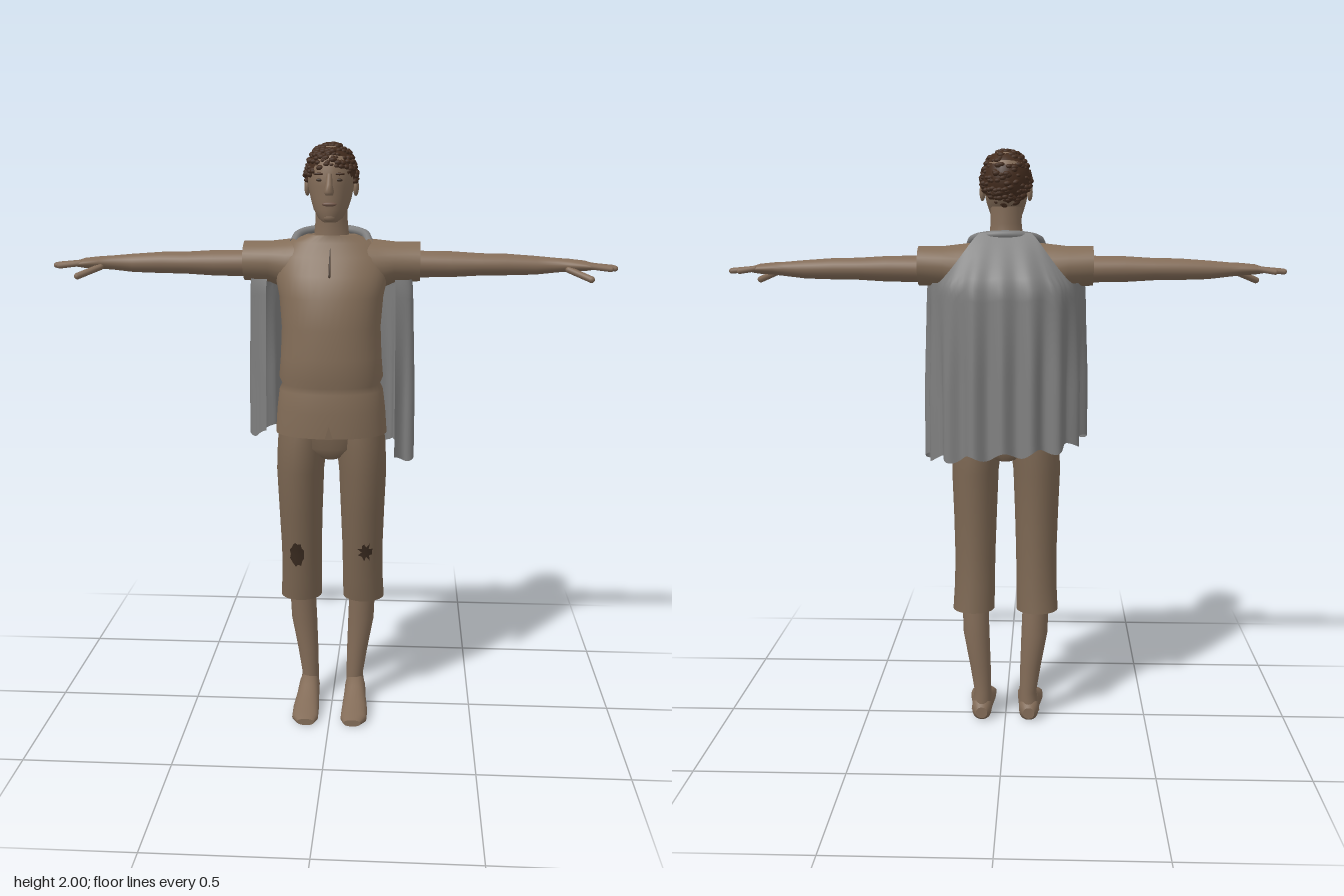
import * as THREE from 'three';
import { mergeGeometries } from 'three/addons/utils/BufferGeometryUtils.js';

const mat = (name, color, side = THREE.FrontSide) => {
  const m = new THREE.MeshStandardMaterial({ color, side });
  m.name = name;
  return m;
};

// Loft of elliptical rings [t, c1, c2, r1, r2] along axis x, y or z, with end caps
function loft(rings, axis = 'y', n = 28, power = 1, floor = -Infinity) {
  const pos = [], idx = [];
  const place = (t, p, q) => {
    const v = axis === 'y' ? [p, t, q] : axis === 'x' ? [t, p, q] : [p, q, t];
    v[1] = Math.max(v[1], floor);
    pos.push(...v);
  };
  const bend = (v) => Math.sign(v) * Math.abs(v) ** power;
  const flip = axis === 'y' ? 1 : -1;
  const ring = ([t, c1, c2, r1, r2]) => {
    for (let j = 0; j < n; j++) {
      const a = (j / n) * Math.PI * 2;
      place(t, c1 + r1 * bend(Math.cos(a)), c2 + flip * r2 * bend(Math.sin(a)));
    }
  };
  rings.forEach(ring);
  for (let i = 0; i < rings.length - 1; i++)
    for (let j = 0; j < n; j++) {
      const a = i * n + j, b = i * n + ((j + 1) % n);
      idx.push(a, a + n, b, b, a + n, b + n);
    }
  [rings[0], rings[rings.length - 1]].forEach((r, end) => {
    const s = pos.length / 3;
    ring(r);
    place(r[0], r[1], r[2]);
    for (let j = 0; j < n; j++) {
      const a = s + j, b = s + ((j + 1) % n);
      idx.push(s + n, end ? b : a, end ? a : b);
    }
  });
  const g = new THREE.BufferGeometry();
  g.setAttribute('position', new THREE.Float32BufferAttribute(pos, 3));
  g.setIndex(idx);
  g.computeVertexNormals();
  return g;
}

// Rounded rod between two points
function rod(a, b, r) {
  const p = new THREE.Vector3(...a), d = new THREE.Vector3(...b).sub(p);
  const g = new THREE.CapsuleGeometry(r, d.length(), 4, 10);
  g.applyQuaternion(new THREE.Quaternion().setFromUnitVectors(new THREE.Vector3(0, 1, 0), d.clone().normalize()));
  return g.translate(...p.addScaledVector(d, 0.5).toArray());
}

const blob = (x, y, z, rx, ry, rz) => new THREE.SphereGeometry(1, 16, 10).scale(rx, ry, rz).translate(x, y, z);

const LEG = [[0.41, 0.112, -0.028, 0.073, 0.075], [0.5, 0.109, -0.012, 0.071, 0.08], [0.6, 0.108, 0, 0.071, 0.086],
  [0.75, 0.108, 0.02, 0.076, 0.1], [0.9, 0.108, 0.028, 0.082, 0.115], [1.0, 0.1, 0.03, 0.086, 0.12], [1.08, 0.09, 0.03, 0.085, 0.11]];

// Ragged patch lying on the front of a trouser leg
function kneePatch(cx, cy, w, h, jag) {
  const surface = (x, y) => {
    const i = LEG.findIndex((r) => r[0] > y), a = LEG[i - 1], b = LEG[i], k = (y - a[0]) / (b[0] - a[0]);
    const [, c, cz, rx, rz] = a.map((v, m) => v + (b[m] - v) * k);
    return cz + rz * Math.sqrt(1 - ((Math.abs(x) - c) / rx) ** 2) + 0.004;
  };
  const n = 18, pos = [cx, cy, surface(cx, cy)], idx = [];
  for (let k = 1; k <= 2; k++)
    for (let j = 0; j < n; j++) {
      const a = (j / n) * Math.PI * 2, r = (k / 2) * (1 + jag * Math.sin(j * 2.6));
      const x = cx + w * r * Math.cos(a), y = cy + h * r * Math.sin(a);
      pos.push(x, y, surface(x, y));
    }
  for (let j = 0; j < n; j++) {
    const a = 1 + j, b = 1 + ((j + 1) % n);
    idx.push(0, a, b, a, a + n, b, b, a + n, b + n);
  }
  const g = new THREE.BufferGeometry();
  g.setAttribute('position', new THREE.Float32BufferAttribute(pos, 3));
  g.setIndex(idx);
  g.computeVertexNormals();
  return g;
}

// Draped cloak: open at the front, folded, rising to the neck behind
function cloakGeometry() {
  const half = [[0.12, -0.165], [0.21, -0.115], [0.255, -0.03], [0.268, 0.06], [0.215, 0.075]];
  const pts = [...half.map(([x, z]) => [-x, z]).reverse(), [0, -0.172], ...half];
  const plan = new THREE.CatmullRomCurve3(pts.map(([x, z]) => new THREE.Vector3(x, 0, z)));
  const nu = 110, nv = 20;
  const g = new THREE.PlaneGeometry(1, 1, nu, nv), p = g.attributes.position;
  for (let i = 0; i < p.count; i++) {
    const u = (i % (nu + 1)) / nu, t = Math.floor(i / (nu + 1)) / nv, s = Math.abs(u * 2 - 1);
    const c = plan.getPointAt(u), tan = plan.getTangentAt(u);
    const top = 1.72 - 0.165 * THREE.MathUtils.smoothstep(s, 0.27, 0.55);
    const bottom = 0.985 - 0.045 * (u * 2 - 1) + 0.012 * Math.cos(u * 50);
    const y = top + (bottom - top) * t;
    const fold = 0.013 * Math.min(1, t * 1.6) * Math.cos(u * 62);
    const k = Math.max(0, (y - 1.55) / 0.17), flare = 0.93 + 0.13 * t;
    const x = (c.x + tan.z * fold) * (1 - 0.35 * k);
    const z = (c.z - tan.x * fold) * (c.z < 0 ? flare : 1);
    p.setXYZ(i, x, y, z * (1 - k) - 0.05 * k);
  }
  g.computeVertexNormals();
  return g;
}

// Cap of hair whose lower edge drops from brow to nape, covered with small curls
function hairGeometry() {
  const g = new THREE.SphereGeometry(1, 36, 18), p = g.attributes.position, uv = g.attributes.uv;
  const point = (theta, h, k) => {
    const f = Math.sin(theta), cut = Math.acos(f > 0 ? -0.25 + 0.55 * f * f : -0.25 + 0.62 * f), phi = h * cut;
    return [-Math.cos(theta) * Math.sin(phi) * 0.086 * k, 1.893 + Math.cos(phi) * 0.105 * k, 0.04 + f * Math.sin(phi) * 0.112 * k];
  };
  for (let i = 0; i < p.count; i++) p.setXYZ(i, ...point(uv.getX(i) * Math.PI * 2, 1 - uv.getY(i), 0.97));
  g.computeVertexNormals();
  let seed = 7;
  const rnd = () => (seed = (seed * 16807) % 2147483647) / 2147483647;
  const parts = [g.toNonIndexed()];
  for (let i = 0; i < 260; i++) {
    const r = 0.008 + rnd() * 0.006;
    parts.push(new THREE.IcosahedronGeometry(r, 1).scale(1, 0.7, 1)
      .translate(...point(rnd() * Math.PI * 2, Math.sqrt(rnd()), 0.94)));
  }
  return mergeGeometries(parts);
}

export function createModel() {
  const skin = mat('skin', 0x836c58), tunic = mat('tunic cloth', 0x836d58), trousers = mat('trouser cloth', 0x7b6652);
  const grey = mat('cloak cloth', 0x7e7e7e, THREE.DoubleSide), hair = mat('hair', 0x432c1e, THREE.DoubleSide);
  const dark = mat('dark patch', 0x3a2b20, THREE.DoubleSide), lips = mat('lips', 0x6f5446);
  const model = new THREE.Group();
  const add = (name, geometry, material, parent = model) => {
    const m = new THREE.Mesh(geometry, material);
    m.name = name;
    parent.add(m);
  };

  // Tunic body with a cinched waist
  add('tunic', loft([[1.035, 0, 0.045, 0.19, 0.135], [1.12, 0, 0.05, 0.184, 0.135], [1.185, 0, 0.05, 0.176, 0.132],
    [1.205, 0, 0.05, 0.166, 0.127], [1.23, 0, 0.055, 0.176, 0.135], [1.3, 0, 0.053, 0.17, 0.138], [1.4, 0, 0.05, 0.166, 0.14],
    [1.5, 0, 0.045, 0.174, 0.135], [1.57, 0, 0.032, 0.19, 0.117], [1.63, 0, 0.02, 0.186, 0.095],
    [1.675, 0, 0.015, 0.145, 0.075], [1.7, 0, 0.022, 0.085, 0.064]], 'y', 40, 0.92), tunic);
  add('neckSlit', rod([0, 1.67, 0.088], [0, 1.57, 0.147], 0.004), dark);
  const notch = new THREE.Shape([[-0.014, 0], [0.014, 0], [0, 0.045]].map((v) => new THREE.Vector2(...v)));
  add('hemNotch', new THREE.ShapeGeometry(notch).translate(0, 1.035, 0.184), trousers);

  // Head, neck and face
  add('neck', loft([[1.64, 0, 0.02, 0.075, 0.06], [1.7, 0, 0.026, 0.058, 0.05], [1.75, 0, 0.03, 0.053, 0.052], [1.81, 0, 0.03, 0.053, 0.056]]), skin);
  add('head', loft([[1.745, 0, 0.108, 0.022, 0.026], [1.757, 0, 0.09, 0.04, 0.053], [1.785, 0, 0.072, 0.056, 0.076],
    [1.82, 0, 0.055, 0.067, 0.095], [1.86, 0, 0.045, 0.075, 0.106], [1.91, 0, 0.045, 0.078, 0.108],
    [1.95, 0, 0.04, 0.068, 0.093], [1.985, 0, 0.04, 0.035, 0.05]]), skin);
  add('nose', loft([[1.832, 0, 0.155, 0.012, 0.016], [1.842, 0, 0.164, 0.017, 0.021], [1.865, 0, 0.156, 0.011, 0.017],
    [1.9, 0, 0.147, 0.009, 0.01]], 'y', 14), skin);
  add('mouth', blob(0, 1.803, 0.147, 0.024, 0.007, 0.007), lips);
  add('chin', blob(0, 1.762, 0.125, 0.024, 0.018, 0.02), skin);
  add('hair', hairGeometry(), hair);

  // Trouser seat and knee patches
  add('trouserSeat', loft([[0.945, 0, 0.02, 0.04, 0.08], [0.99, 0, 0.03, 0.14, 0.115], [1.1, 0, 0.035, 0.17, 0.115]]), trousers);
  add('rightKneePatch', kneePatch(-0.118, 0.595, 0.025, 0.045, 0.12), dark);
  add('leftKneePatch', kneePatch(0.122, 0.61, 0.022, 0.028, 0.4), dark);

  // Cloak and its collar
  add('cloak', cloakGeometry(), grey);
  const collar = [[-0.125, 1.675, 0.045], [-0.11, 1.7, 0], [-0.06, 1.712, -0.04], [0, 1.715, -0.05], [0.06, 1.712, -0.04], [0.11, 1.7, 0], [0.125, 1.675, 0.045]];
  add('cloakCollar', new THREE.TubeGeometry(new THREE.CatmullRomCurve3(collar.map((v) => new THREE.Vector3(...v))), 40, 0.014, 10), grey);

  // Paired parts, built on the left and mirrored
  for (const [side, s] of [['left', 1], ['right', -1]]) {
    const g = new THREE.Group();
    g.name = side + 'Side';
    g.scale.x = s;
    model.add(g);
    const put = (name, geometry, material) => add(side + name, geometry, material, g);
    put('Sleeve', loft([[0.09, 1.595, 0.01, 0.095, 0.095], [0.15, 1.598, 0.004, 0.085, 0.09], [0.21, 1.608, 0, 0.068, 0.082],
      [0.295, 1.61, -0.002, 0.066, 0.076]], 'x'), tunic);
    put('Arm', loft([[0.25, 1.6, -0.012, 0.045, 0.054], [0.4, 1.6, -0.014, 0.043, 0.05], [0.5, 1.6, -0.014, 0.037, 0.045],
      [0.58, 1.6, -0.015, 0.036, 0.042], [0.68, 1.598, -0.015, 0.031, 0.034], [0.75, 1.599, -0.012, 0.024, 0.027],
      [0.79, 1.6, -0.004, 0.021, 0.038], [0.84, 1.599, 0.004, 0.017, 0.044], [0.865, 1.597, 0.005, 0.011, 0.04]], 'x'), skin);
    [[-0.03, -0.04, 0.9], [-0.008, -0.009, 0.935], [0.015, 0.018, 0.938], [0.036, 0.044, 0.92]].forEach(([z0, z1, x], i) =>
      put('Finger' + (i + 1), rod([0.85, 1.6, z0], [x, 1.592, z1], 0.0095), skin));
    put('Thumb', rod([0.785, 1.588, 0.025], [0.855, 1.56, 0.066], 0.011), skin);
    put('TrouserLeg', loft(LEG), trousers);
    put('Shin', loft([[0.03, 0.086, -0.035, 0.036, 0.036], [0.1, 0.081, -0.03, 0.03, 0.036], [0.2, 0.09, -0.032, 0.037, 0.039],
      [0.32, 0.103, -0.032, 0.046, 0.046], [0.45, 0.108, -0.02, 0.046, 0.05]]), skin);
    put('Foot', loft([[-0.075, 0.084, 0.03, 0.02, 0.02], [-0.06, 0.084, 0.038, 0.034, 0.038], [-0.01, 0.084, 0.05, 0.037, 0.056],
      [0.04, 0.085, 0.034, 0.04, 0.046], [0.11, 0.087, 0.02, 0.046, 0.033], [0.165, 0.086, 0.014, 0.046, 0.022],
      [0.198, 0.082, 0.012, 0.03, 0.012]], 'z', 24, 0.9, 0), skin);
    put('Ear', blob(0.08, 1.855, 0.03, 0.01, 0.03, 0.018).rotateY(0), skin);
    put('Eye', blob(0.031, 1.879, 0.142, 0.012, 0.005, 0.004), dark);
    put('Brow', blob(0.033, 1.898, 0.145, 0.018, 0.004, 0.005), hair);
  }
  return model;
}
